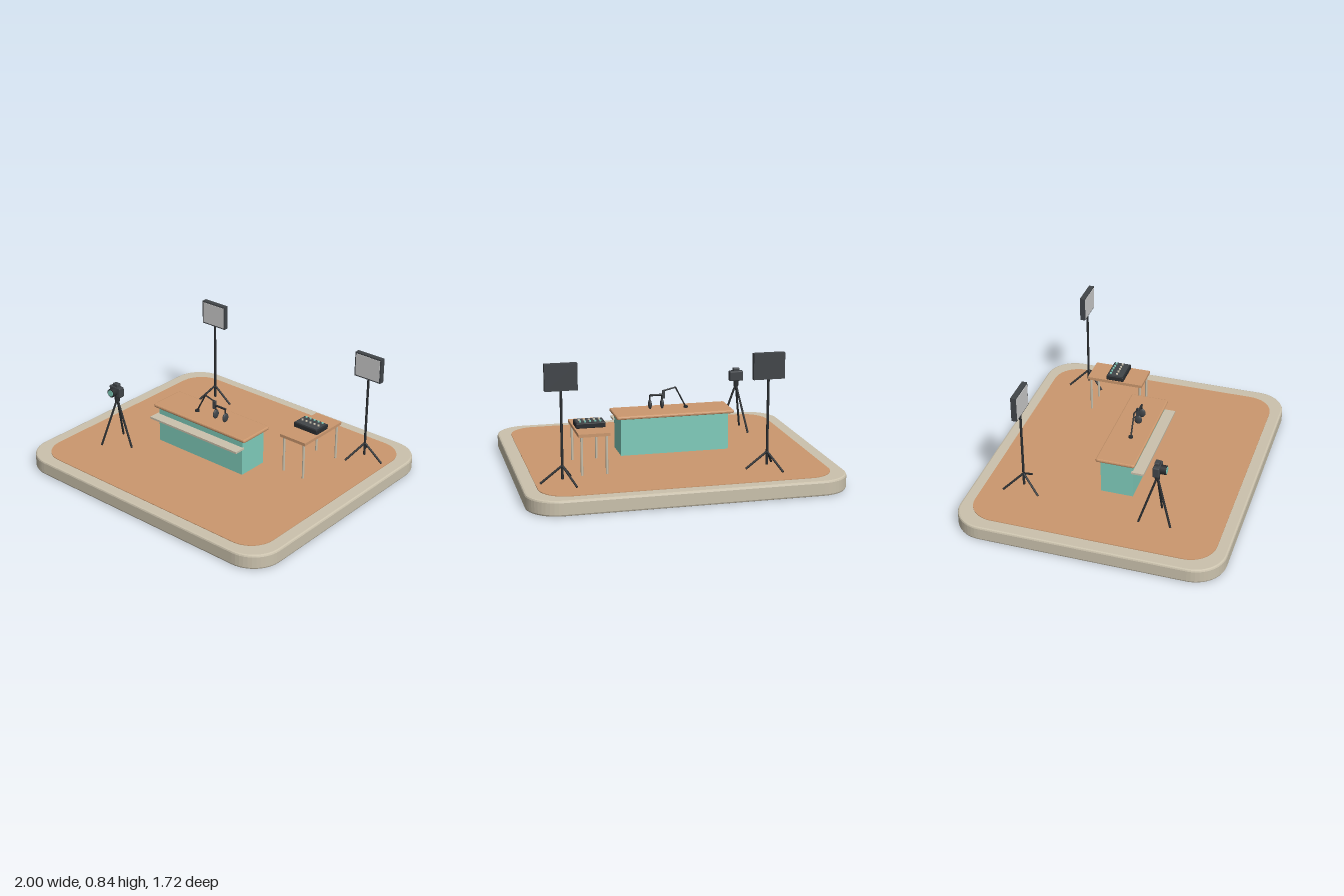
import * as THREE from 'three';
import { RoundedBoxGeometry } from 'three/addons/geometries/RoundedBoxGeometry.js';

const mat = (name, color) => {
  const m = new THREE.MeshStandardMaterial({ color });
  m.name = name;
  return m;
};

export function createModel() {
  const stone = mat('warm stone', 0xcbc2ad);
  const wood = mat('wood', 0xcc986e);
  const teal = mat('teal', 0x80cdbc);
  const black = mat('black metal', 0x2a2d30);
  const dark = mat('dark grey casing', 0x414549);
  const diffuser = mat('light diffuser', 0xcecece);

  const model = new THREE.Group();
  model.name = 'broadcastStudio';

  const group = (name, parent = model) => {
    const g = new THREE.Group();
    g.name = name;
    parent.add(g);
    return g;
  };
  const add = (parent, name, geometry, material, x = 0, y = 0, z = 0) => {
    const m = new THREE.Mesh(geometry, material);
    m.name = name;
    m.position.set(x, y, z);
    parent.add(m);
    return m;
  };
  // Box given by its limits on each axis
  const box = (parent, name, material, [x0, x1], [y0, y1], [z0, z1], r = 0) => {
    const s = [x1 - x0, y1 - y0, z1 - z0];
    const geo = r ? new RoundedBoxGeometry(...s, 2, r) : new THREE.BoxGeometry(...s);
    return add(parent, name, geo, material, (x0 + x1) / 2, (y0 + y1) / 2, (z0 + z1) / 2);
  };
  // Round bar between two points
  const rod = (parent, name, material, a, b, r) => {
    const p = new THREE.Vector3(...a), q = new THREE.Vector3(...b);
    const d = q.clone().sub(p);
    const m = add(parent, name, new THREE.CylinderGeometry(r, r, d.length(), 10), material);
    m.position.copy(p).add(q).multiplyScalar(0.5);
    m.quaternion.setFromUnitVectors(new THREE.Vector3(0, 1, 0), d.normalize());
    return m;
  };
  // Horizontal slab with rounded corners and bevelled edges
  const slab = (parent, name, material, w, d, r, y0, y1, bevel, x = 0, z = 0) => {
    const s = new THREE.Shape(), a = w / 2, b = d / 2;
    s.moveTo(-a + r, -b);
    s.lineTo(a - r, -b).absarc(a - r, -b + r, r, -Math.PI / 2, 0);
    s.lineTo(a, b - r).absarc(a - r, b - r, r, 0, Math.PI / 2);
    s.lineTo(-a + r, b).absarc(-a + r, b - r, r, Math.PI / 2, Math.PI);
    s.lineTo(-a, -b + r).absarc(-a + r, -b + r, r, Math.PI, Math.PI * 1.5);
    const geo = new THREE.ExtrudeGeometry(s, {
      depth: y1 - y0 - 2 * bevel, curveSegments: 6, bevelEnabled: bevel > 0,
      bevelThickness: bevel, bevelSize: bevel, bevelOffset: -bevel, bevelSegments: 2,
    });
    geo.rotateX(-Math.PI / 2);
    return add(parent, name, geo, material, x, y0 + bevel, z);
  };
  // Three legs spreading from a hub, one pointing to +x
  const tripodLegs = (parent, top, foot, spread, r) => {
    for (let i = 0; i < 3; i++) {
      const t = (i * Math.PI * 2) / 3;
      rod(parent, 'leg', black, [0, top, 0], [spread * Math.cos(t), foot, spread * Math.sin(t)], r);
    }
  };

  // Stage
  slab(model, 'stageBase', stone, 2, 1.724, 0.2, 0, 0.096, 0.012);
  slab(model, 'stageFloor', wood, 1.825, 1.57, 0.17, 0.09, 0.1, 0);

  // Presenter's desk
  const desk = group('desk');
  box(desk, 'deskBody', teal, [-0.425, 0.29], [0.1, 0.347], [-0.055, 0.157]);
  slab(desk, 'deskTop', wood, 0.78, 0.255, 0.015, 0.343, 0.365, 0.008, -0.07, 0.048);
  box(desk, 'frontShelf', stone, [-0.44, 0.3], [0.285, 0.298], [0.15, 0.23]);

  // Side table
  const table = group('sideTable');
  box(table, 'tableTop', wood, [0.432, 0.63], [0.344, 0.364], [-0.428, -0.045]);
  for (const x of [0.453, 0.609]) {
    for (const z of [-0.063, -0.41]) {
      rod(table, 'tableLeg', stone, [x, 0.1, z], [x, 0.344, z], 0.008);
    }
  }

  // Mixing console with two rows of knobs
  const mixer = group('mixer');
  box(mixer, 'mixerCase', black, [0.436, 0.622], [0.364, 0.398], [-0.296, -0.176], 0.006);
  box(mixer, 'mixerPanel', dark, [0.444, 0.614], [0.396, 0.4], [-0.288, -0.184]);
  for (let i = 0; i < 5; i++) {
    const x = 0.466 + i * 0.0318;
    for (const [m, z] of [[teal, -0.274], [stone, -0.23]]) {
      add(mixer, 'knob', new THREE.CylinderGeometry(0.007, 0.007, 0.01, 12), m, x, 0.404, z);
    }
  }

  // Desk microphones on a jointed arm
  const mics = group('microphoneArm');
  mics.position.z = 0.065;
  add(mics, 'armBase', new THREE.CylinderGeometry(0.015, 0.015, 0.012, 16), black, -0.17, 0.37, 0);
  rod(mics, 'lowerArm', black, [-0.17, 0.37, 0], [-0.1, 0.505, 0], 0.005);
  rod(mics, 'upperArm', black, [-0.1, 0.505, 0], [-0.015, 0.485, 0], 0.005);
  add(mics, 'armJoint', new THREE.SphereGeometry(0.006, 12, 8), black, -0.1, 0.505, 0);
  box(mics, 'armBracket', dark, [-0.029, -0.011], [0.435, 0.49], [-0.009, 0.009]);
  rod(mics, 'crossBar', black, [-0.02, 0.46, 0], [0.073, 0.46, 0], 0.007);
  for (const x of [-0.01, 0.071]) {
    rod(mics, 'micStem', black, [x, 0.46, 0], [x, 0.42, 0], 0.005);
    add(mics, 'micHead', new THREE.SphereGeometry(1, 20, 14), dark, x, 0.4, 0).scale.set(0.012, 0.032, 0.026);
  }

  // Panel lights on stands
  for (const x of [-0.536, 0.75]) {
    const lamp = group('studioLight');
    lamp.position.set(x, 0, -0.533);
    rod(lamp, 'pole', black, [0, 0.125, 0], [0, 0.69, 0], 0.008);
    tripodLegs(lamp, 0.21, 0.106, 0.136, 0.007);
    box(lamp, 'lampCase', dark, [-0.099, 0.099], [0.672, 0.836], [-0.018, 0.016]);
    box(lamp, 'lampFace', diffuser, [-0.09, 0.09], [0.681, 0.827], [0.014, 0.019]);
  }

  // Camera on a tripod
  const camera = group('cameraOnTripod');
  camera.position.set(-0.603, 0, 0.366);
  tripodLegs(camera, 0.43, 0.106, 0.118, 0.007);
  rod(camera, 'tripodHead', black, [0, 0.415, 0], [0, 0.456, 0], 0.017);
  box(camera, 'cameraBody', dark, [-0.048, 0.048], [0.453, 0.522], [-0.02, 0.022], 0.008);
  box(camera, 'viewfinder', dark, [-0.022, 0.022], [0.515, 0.543], [-0.016, 0.016], 0.006);
  rod(camera, 'lensBarrel', black, [0, 0.49, 0.015], [0, 0.49, 0.058], 0.029);
  rod(camera, 'lensGlass', teal, [0, 0.49, 0.054], [0, 0.49, 0.061], 0.022);

  return model;
}
